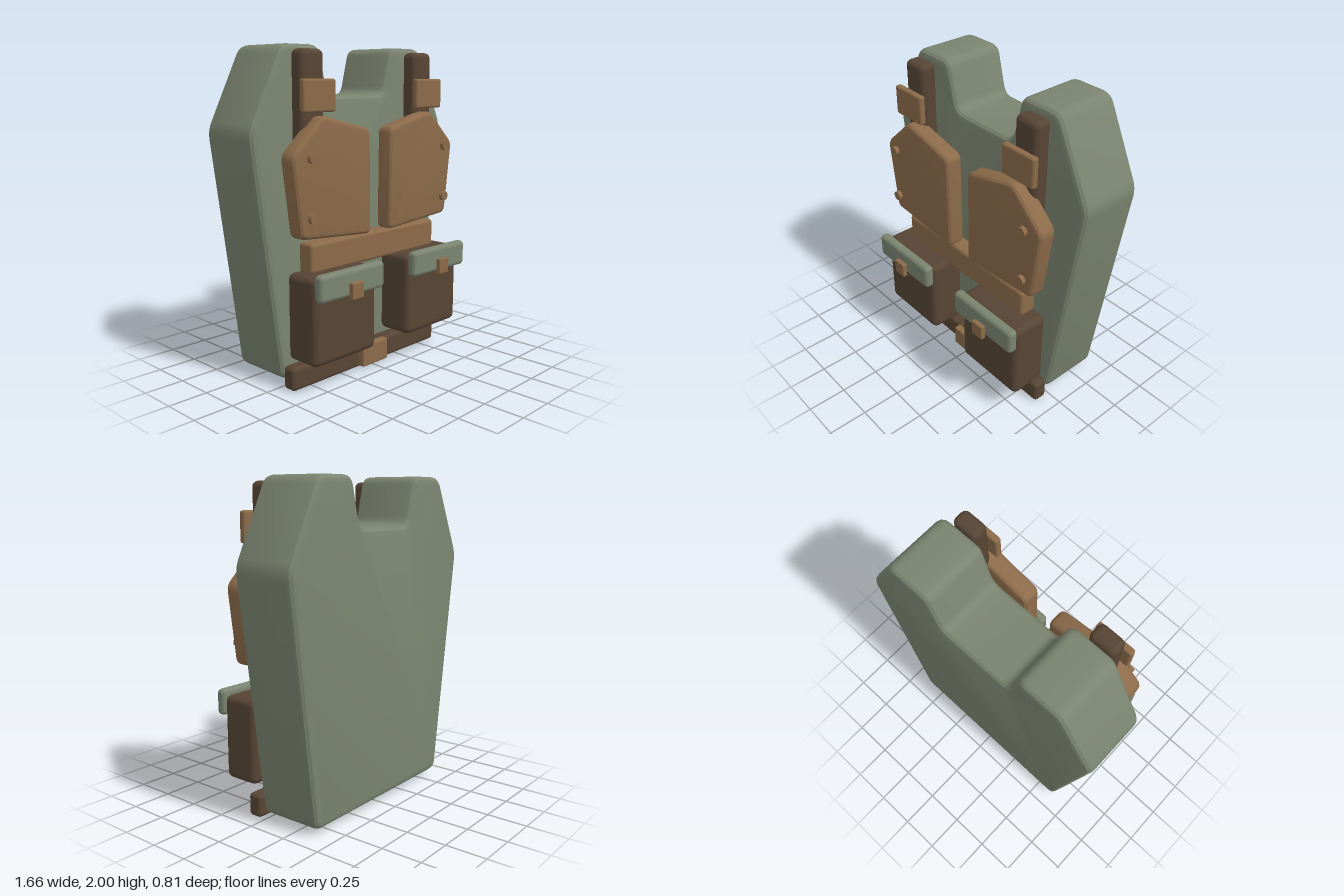
import * as THREE from 'three';
import { toCreasedNormals } from 'three/addons/utils/BufferGeometryUtils.js';
import { RoundedBoxGeometry } from 'three/addons/geometries/RoundedBoxGeometry.js';

function material(name, color) {
  const m = new THREE.MeshStandardMaterial({ color });
  m.name = name;
  return m;
}

// Closed outline with softened corners
function roundedShape(points, r) {
  const pts = points.map(([x, y]) => new THREE.Vector2(x, y));
  const shape = new THREE.Shape();
  pts.forEach((p, i) => {
    const prev = pts[(i + pts.length - 1) % pts.length];
    const next = pts[(i + 1) % pts.length];
    const a = p.clone().add(prev.clone().sub(p).setLength(r));
    const b = p.clone().add(next.clone().sub(p).setLength(r));
    if (i === 0) shape.moveTo(a.x, a.y);
    else shape.lineTo(a.x, a.y);
    shape.quadraticCurveTo(p.x, p.y, b.x, b.y);
  });
  shape.closePath();
  return shape;
}

// Bevelled slab filling the outline exactly, between z0 and z1
function slab(points, z0, z1, bevel, r) {
  const g = new THREE.ExtrudeGeometry(roundedShape(points, r), {
    depth: z1 - z0 - 2 * bevel,
    bevelEnabled: true,
    bevelThickness: bevel,
    bevelSize: bevel,
    bevelOffset: -bevel,
    bevelSegments: 3,
    curveSegments: 4,
  });
  g.translate(0, 0, z0 + bevel);
  return toCreasedNormals(g, 0.4);
}

export function createModel() {
  const group = new THREE.Group();
  group.name = 'vest';
  const green = material('sage green', 0x7b8470);
  const tan = material('tan leather', 0x8c6b4a);
  const brown = material('dark brown', 0x574535);

  function add(name, geometry, mat) {
    const mesh = new THREE.Mesh(geometry, mat);
    mesh.name = name;
    group.add(mesh);
    return mesh;
  }

  // Rounded box given by its limits on each axis
  function box(name, mat, [x0, x1], [y0, y1], [z0, z1], r) {
    const mesh = add(name, new RoundedBoxGeometry(x1 - x0, y1 - y0, z1 - z0, 2, r), mat);
    mesh.position.set((x0 + x1) / 2, (y0 + y1) / 2, (z0 + z1) / 2);
    return mesh;
  }

  // Vest body: one half of the outline, mirrored
  const half = [[0.635, 0.04], [0.838, 1.51], [0.595, 2], [0.31, 2], [0.235, 1.705]];
  const outline = [...half, ...half.map(([x, y]) => [-x, y]).reverse()];
  add('vestBody', slab(outline, -0.405, 0.01, 0.04, 0.055), green);

  // Belts
  box('chestBand', tan, [-0.55, 0.55], [0.7, 0.88], [0.065, 0.18], 0.022);
  box('waistBelt', brown, [-0.648, 0.648], [0.003, 0.145], [0.025, 0.12], 0.025);
  box('beltBuckle', tan, [-0.112, 0.112], [0.018, 0.158], [0.12, 0.17], 0.01);

  const plate = [[0.08, 0.877], [0.645, 0.918], [0.708, 1.39], [0.475, 1.605], [0.088, 1.512]];

  for (const side of [1, -1]) {
    const label = side > 0 ? 'left' : 'right';
    const span = (a, b) => (side > 0 ? [a, b] : [-b, -a]);

    // Shoulder strap and its buckle
    box(label + 'Strap', brown, span(0.393, 0.567), [1.077, 1.97], [0.025, 0.135], 0.036);
    box(label + 'StrapBuckle', tan, span(0.358, 0.605), [1.62, 1.805], [0.145, 0.188], 0.014);

    // Chest plate with rivets
    const pts = plate.map(([x, y]) => [side * x, y]);
    if (side < 0) pts.reverse();
    add(label + 'ChestPlate', slab(pts, 0.09, 0.21, 0.03, 0.04), tan);
    for (const y of [1.04, 1.375]) {
      const rivet = add(label + 'Rivet', new THREE.CylinderGeometry(0.03, 0.03, 0.026, 16), tan);
      rivet.rotation.x = Math.PI / 2;
      rivet.position.set(side * 0.587, y, 0.235);
    }

    // Pouch with flap and closing tab
    box(label + 'Pouch', brown, span(0.146, 0.646), [0.195, 0.715], [0.065, 0.31], 0.04);
    box(label + 'PouchFlap', green, span(0.137, 0.655), [0.585, 0.745], [0.302, 0.368], 0.026);
    box(label + 'PouchTab', tan, span(0.35, 0.441), [0.575, 0.672], [0.368, 0.4], 0.006);
  }
  return group;
}
